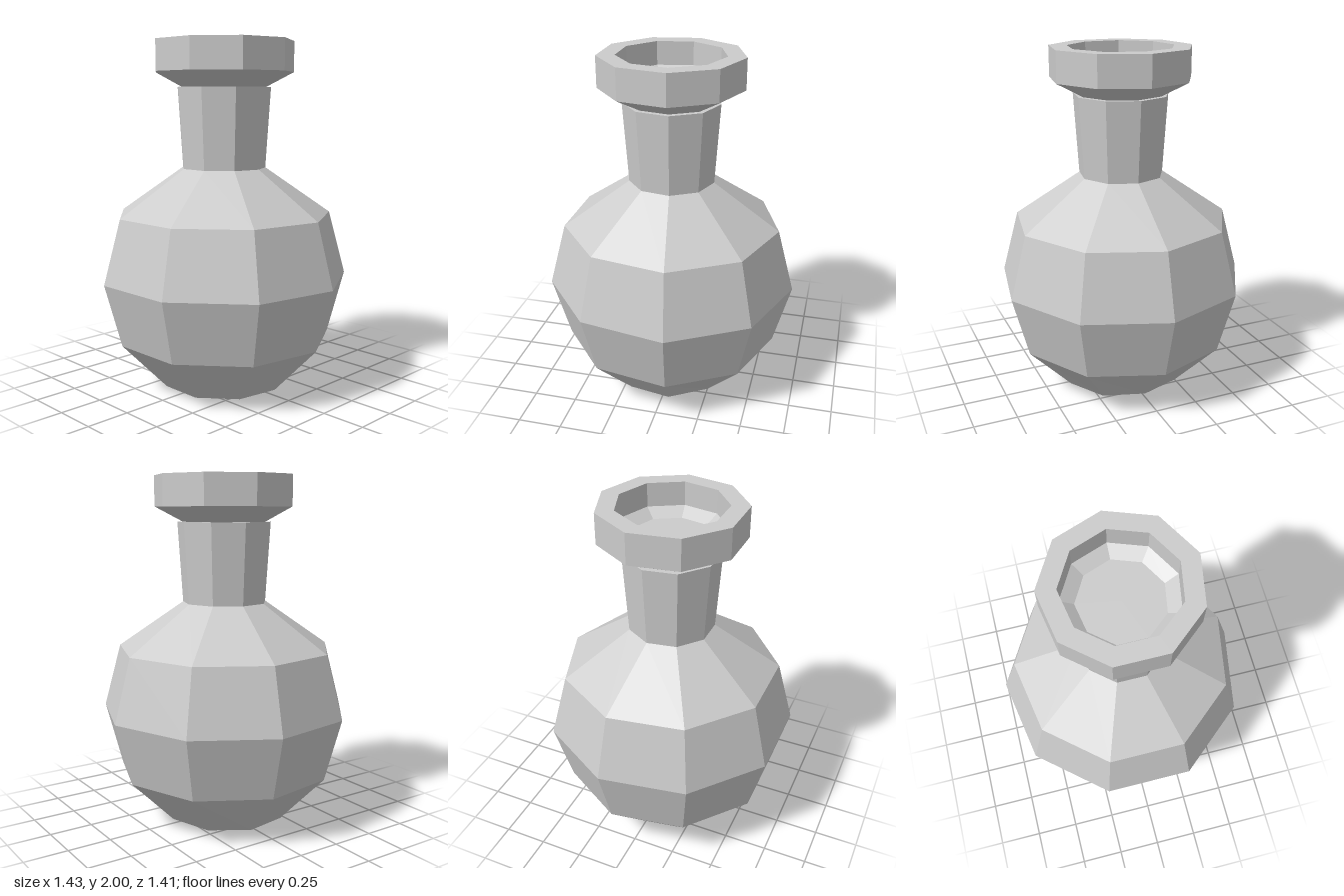
import * as THREE from 'three';

const SIDES = 9;

// Nine-sided turned part with one corner pointing to the back.
function turned(name, profile, material) {
  const points = profile.map(([r, y]) => new THREE.Vector2(r, y));
  const geometry = new THREE.LatheGeometry(points, SIDES, Math.PI);
  const mesh = new THREE.Mesh(geometry, material);
  mesh.name = name;
  return mesh;
}

export function createModel() {
  const flask = new THREE.Group();
  flask.name = 'flask';
  const material = new THREE.MeshStandardMaterial({ color: 0xcccccc, flatShading: true });

  // Round body with a faceted belly and sloping shoulder
  const body = turned('body', [
    [0, 0], [0.363, 0.012], [0.627, 0.29], [0.725, 0.65], [0.627, 1.015], [0.245, 1.28],
  ], material);

  // The base lifts slightly at its rear corner
  const p = body.geometry.attributes.position;
  for (let i = 0; i < p.count; i++) {
    if (p.getY(i) < 0.1 && p.getZ(i) < -0.25) {
      p.setY(i, p.getZ(i) < -0.3 ? 0.025 : 0.018);
    }
  }

  // Neck widening upward, closed by a narrow ledge
  const neck = turned('neck', [[0.245, 1.28], [0.275, 1.74], [0.245, 1.74]], material);

  // Flared rim with a shallow recessed mouth
  const rim = turned('rim', [
    [0.245, 1.74], [0.407, 1.825], [0.407, 2], [0.304, 2],
    [0.304, 1.865], [0.232, 1.82], [0, 1.82],
  ], material);

  flask.add(body, neck, rim);
  // Odd-sided rings are shifted so the bounds are centred
  flask.children.forEach((part) => { part.position.z = 0.022; });
  return flask;
}
